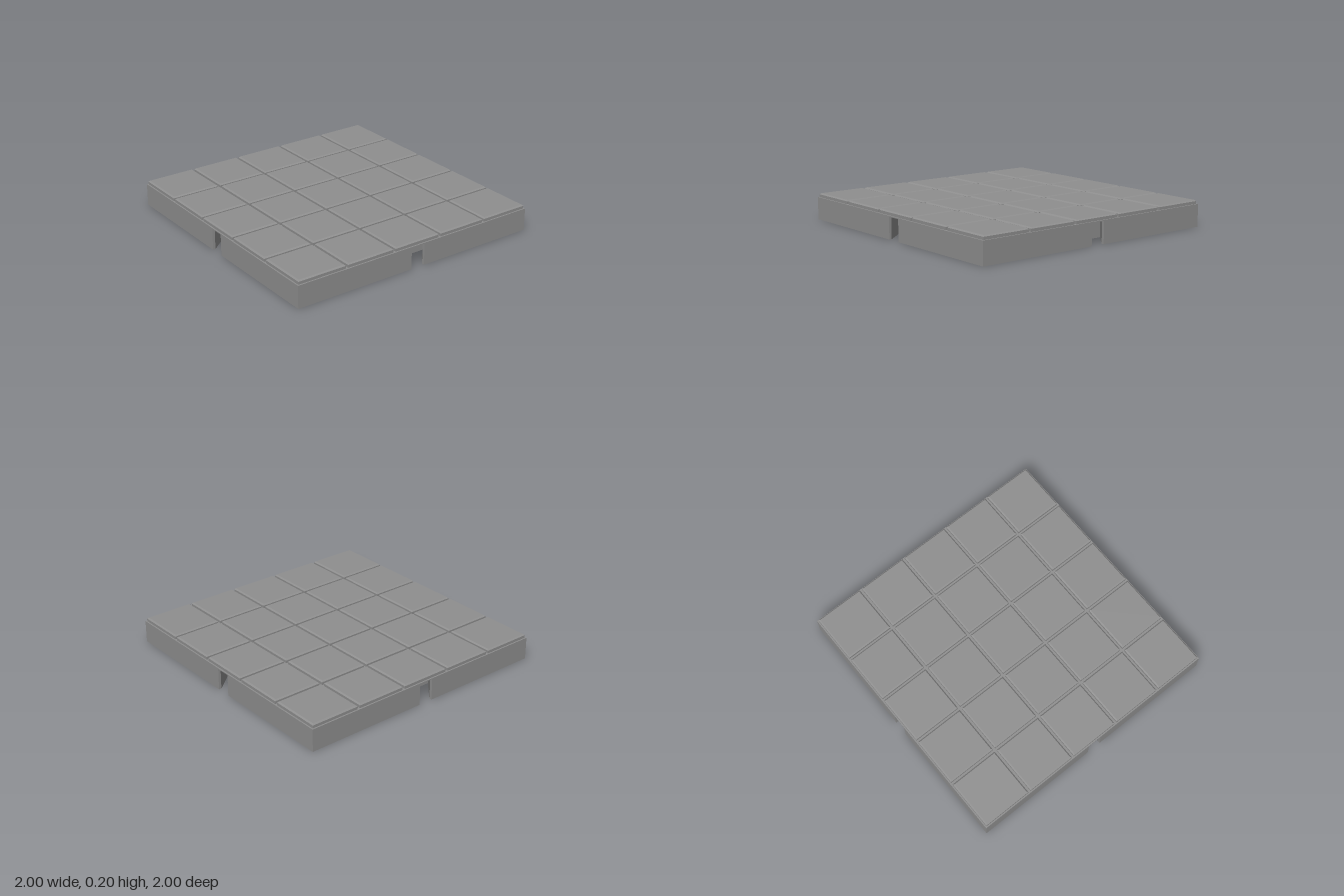
import * as THREE from 'three';

const NOTCH_TOP = 0.163, SLAB_TOP = 0.17, TILE_TOP = 0.2;
const GRID = 5, PITCH = 0.4;

// Square outline with a dovetail slot, entered by a short straight neck, in the middle of each side
function slabOutline() {
  const side = [
    [-1, -1], [-0.056, -1], [-0.056, -0.98], [-0.195, -0.815],
    [0.195, -0.815], [0.056, -0.98], [0.056, -1],
  ];
  const centre = new THREE.Vector2();
  const points = [];
  for (let i = 0; i < 4; i++) {
    for (const [x, y] of side) {
      points.push(new THREE.Vector2(x, y).rotateAround(centre, i * Math.PI / 2));
    }
  }
  return new THREE.Shape(points);
}

// Square tile with a chamfered upper rim, turned as a four-sided lathe
function tileGeometry() {
  const profile = [[0.19, SLAB_TOP], [0.19, 0.191], [0.18, TILE_TOP], [0, TILE_TOP]]
    .map(([half, y]) => new THREE.Vector2(half * Math.SQRT2, y));
  const geometry = new THREE.LatheGeometry(profile, 4, Math.PI / 4).toNonIndexed();
  geometry.computeVertexNormals();
  return geometry;
}

export function createModel() {
  const group = new THREE.Group();
  group.name = 'floorPanel';
  const material = new THREE.MeshStandardMaterial({ color: 0x8f8f8f, flatShading: true });

  // Slab body with the connector slots
  const body = new THREE.ExtrudeGeometry(slabOutline(), { depth: NOTCH_TOP, bevelEnabled: false });
  body.rotateX(-Math.PI / 2);
  const slab = new THREE.Mesh(body, material);
  slab.name = 'slottedSlab';
  group.add(slab);

  // Thin deck closing the slots from above
  const deck = new THREE.Mesh(new THREE.BoxGeometry(2, SLAB_TOP - NOTCH_TOP, 2), material);
  deck.name = 'deck';
  deck.position.y = (SLAB_TOP + NOTCH_TOP) / 2;
  group.add(deck);

  // Grid of paving tiles
  const tiles = new THREE.Group();
  tiles.name = 'tiles';
  const geometry = tileGeometry();
  for (let row = 0; row < GRID; row++) {
    for (let col = 0; col < GRID; col++) {
      const tile = new THREE.Mesh(geometry, material);
      tile.name = 'tile';
      tile.position.set((col - (GRID - 1) / 2) * PITCH, 0, (row - (GRID - 1) / 2) * PITCH);
      tiles.add(tile);
    }
  }
  group.add(tiles);
  return group;
}
